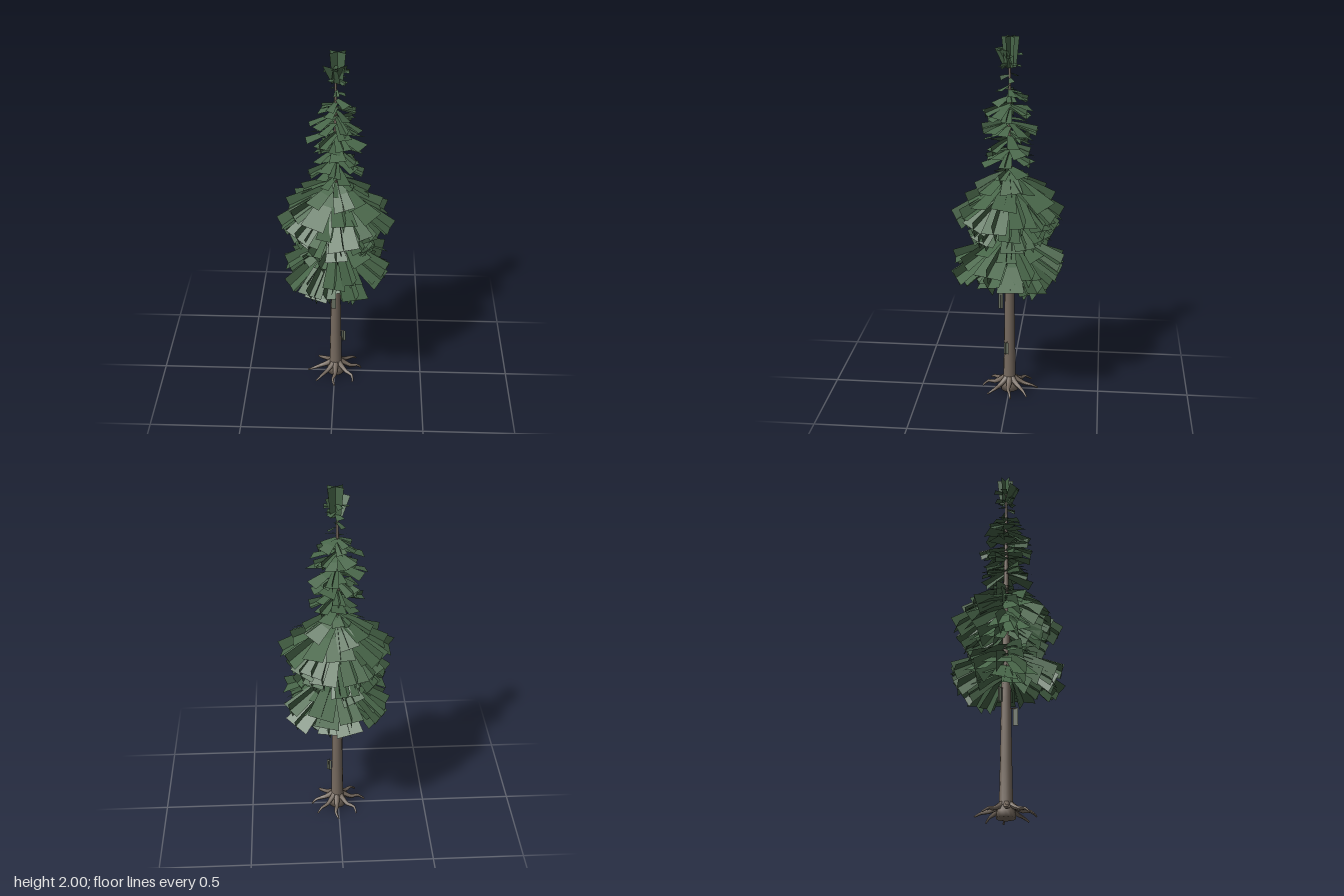
import * as THREE from 'three';
import { mergeGeometries } from 'three/addons/utils/BufferGeometryUtils.js';

const bark = new THREE.MeshStandardMaterial({ color: 0x75695e });
const needles = new THREE.MeshStandardMaterial({ color: 0x486649, side: THREE.DoubleSide });
const dryNeedles = new THREE.MeshStandardMaterial({ color: 0x6a7263, side: THREE.DoubleSide });

// Seeded random numbers in [-1, 1]
let seed = 7;
function jitter() {
  seed = (seed * 16807) % 2147483647;
  return (seed / 2147483647) * 2 - 1;
}

function addMesh(parent, name, geometry, material) {
  const mesh = new THREE.Mesh(geometry, material);
  mesh.name = name;
  parent.add(mesh);
  return mesh;
}

// Strip running out along +x, narrow at the trunk, wide at the tip and drooping.
// It lies flat, or stands upright on the same slope when upright is true.
function card(length, drop, width, upright) {
  const g = new THREE.PlaneGeometry(1, 1, 2, 1);
  const p = g.attributes.position;
  for (let i = 0; i < p.count; i++) {
    const t = p.getX(i) + 0.5;
    const side = p.getY(i) * width * (0.4 + 0.6 * t);
    const y = -drop * (0.75 * t + 0.25 * t * t);
    const lean = drop / length;
    if (upright) p.setXYZ(i, length * t + side * lean * 0.8, y + side, 0);
    else p.setXYZ(i, length * t, y, -side);
  }
  const flat = g.toNonIndexed();
  flat.computeVertexNormals();
  return flat;
}

// Ring of drooping branches at one height; every finStep-th branch has an upright card too
function whorl([y, radius, tipY, count, width, finStep], index) {
  const parts = [];
  for (let i = 0; i < count; i++) {
    const angle = ((i + 0.3 * jitter()) / count) * Math.PI * 2 + index * 1.1;
    const length = radius * (0.95 + 0.08 * jitter());
    const drop = (y - tipY) * (1 + 0.25 * jitter());
    const lift = 0.02 * jitter();
    const pieces = [card(length, drop, width * (1 + 0.15 * jitter()), false)];
    if (i % finStep === 0) pieces.push(card(length, drop, width * 0.7, true));
    const roll = 0.3 * jitter();
    for (const g of pieces) {
      g.rotateX(roll);
      g.rotateY(angle);
      g.translate(0.01, y + lift, 0);
      parts.push(g);
    }
  }
  return mergeGeometries(parts);
}

export function createModel() {
  const tree = new THREE.Group();
  tree.name = 'conifer';

  // Trunk, flared at the foot and tapering to the tip
  const profile = [[0, 0.005], [0.05, 0.005], [0.047, 0.04], [0.035, 0.09], [0.031, 0.3], [0.026, 0.65],
    [0.02, 1.0], [0.013, 1.35], [0.008, 1.7], [0.004, 1.93], [0, 1.93]];
  const trunk = new THREE.LatheGeometry(profile.map(([r, y]) => new THREE.Vector2(r, y)), 12);
  addMesh(tree, 'trunk', trunk, bark).position.x = 0.005;

  // Roots arching out over the ground
  const roots = new THREE.Group();
  roots.name = 'roots';
  tree.add(roots);
  const segments = 8, sides = 6;
  for (let i = 0; i < 8; i++) {
    const reach = 0.155 + 0.01 * jitter();
    const path = new THREE.CatmullRomCurve3([
      new THREE.Vector3(0.015, 0.085, 0),
      new THREE.Vector3(0.05, 0.06, 0),
      new THREE.Vector3(0.085, 0.043, 0.006 * jitter()),
      new THREE.Vector3(0.125, 0.037, 0.012 * jitter()),
      new THREE.Vector3(reach, 0.014, 0.016 * jitter()),
    ]);
    const g = new THREE.TubeGeometry(path, segments, 0.018, sides);
    const p = g.attributes.position;
    const centre = new THREE.Vector3(), v = new THREE.Vector3();
    for (let k = 0; k < p.count; k++) {
      const t = Math.floor(k / (sides + 1)) / segments;
      path.getPointAt(t, centre);
      v.fromBufferAttribute(p, k).sub(centre).multiplyScalar(1 - 0.75 * t).add(centre);
      p.setXYZ(k, v.x, v.y, v.z);
    }
    g.computeVertexNormals();
    const root = addMesh(roots, 'root', g, bark);
    root.rotation.y = (i / 8) * Math.PI * 2 + 0.1 * jitter();
    root.position.x = 0.008;
  }

  // Foliage whorls: attachment height, radius, tip height, branch count, card width, upright card spacing
  const whorls = [
    [0.80, 0.19, 0.68, 8, 0.11, 1], [0.84, 0.25, 0.69, 9, 0.13, 1], [0.88, 0.29, 0.71, 9, 0.14, 1],
    [0.92, 0.29, 0.77, 9, 0.14, 1], [0.93, 0.20, 0.84, 7, 0.11, 2],
    [1.04, 0.21, 0.93, 8, 0.12, 1], [1.10, 0.24, 0.95, 9, 0.13, 1], [1.16, 0.27, 0.99, 9, 0.14, 1],
    [1.21, 0.29, 1.05, 9, 0.15, 1], [1.25, 0.25, 1.13, 9, 0.14, 2], [1.28, 0.19, 1.20, 8, 0.11, 2],
    [1.30, 0.10, 1.26, 6, 0.08, 3],
    [1.39, 0.15, 1.35, 7, 0.08, 3], [1.42, 0.12, 1.38, 6, 0.075, 3], [1.48, 0.13, 1.44, 7, 0.08, 3],
    [1.52, 0.10, 1.49, 6, 0.07, 3], [1.57, 0.16, 1.53, 7, 0.08, 3], [1.62, 0.11, 1.58, 6, 0.07, 3],
    [1.66, 0.14, 1.62, 6, 0.07, 4], [1.70, 0.10, 1.67, 6, 0.06, 4], [1.74, 0.08, 1.72, 5, 0.05, 5],
    [1.80, 0.05, 1.78, 3, 0.035, 4], [1.86, 0.06, 1.85, 4, 0.04, 4], [1.91, 0.07, 1.91, 4, 0.035, 4],
  ];
  whorls.forEach((w, i) => addMesh(tree, 'branchWhorl', whorl(w, i), needles));

  // Crown: upright cards, wider at the top; x, z, height, turn, lean
  const crowns = [
    [0.015, -0.005, 0.16, 0.55, 0], [0.015, -0.005, 0.16, -0.5, 0], [0.015, -0.005, 0.16, 1.57, 0],
    [0.005, 0.01, 0.11, -0.6, 0.45], [0.005, 0, 0.10, 0.7, 0.4],
  ];
  for (const [x, z, height, turn, lean] of crowns) {
    const corners = [[-0.03, 0], [0.03, 0], [0.046, height], [-0.046, height]];
    const shape = new THREE.Shape(corners.map(([a, b]) => new THREE.Vector2(a, b)));
    const crown = addMesh(tree, 'crownCard', new THREE.ShapeGeometry(shape), needles);
    crown.position.set(x, 1.84, z);
    crown.rotation.set(lean, turn, 0, 'YXZ');
  }

  // Small dry sprigs hanging from the bare trunk: x, z, bottom and top height
  for (const [x, z, low, high] of [[0.05, 0.015, 0.24, 0.31], [-0.005, 0.05, 0.49, 0.59], [-0.02, -0.03, 0.62, 0.7]]) {
    const sprig = new THREE.Group();
    sprig.name = 'drySprig';
    sprig.position.set(x, (low + high) / 2, z);
    sprig.rotation.y = Math.atan2(x, z);
    tree.add(sprig);
    for (const turn of [0, Math.PI / 2]) {
      const leaf = addMesh(sprig, 'sprigCard', new THREE.PlaneGeometry(0.026, high - low), dryNeedles);
      leaf.rotation.y = turn;
    }
    const twig = addMesh(sprig, 'twig', new THREE.CylinderGeometry(0.002, 0.003, 0.03, 5), bark);
    twig.rotation.x = Math.PI / 2;
    twig.position.set(0, (high - low) * 0.45, -0.012);
  }
  return tree;
}
